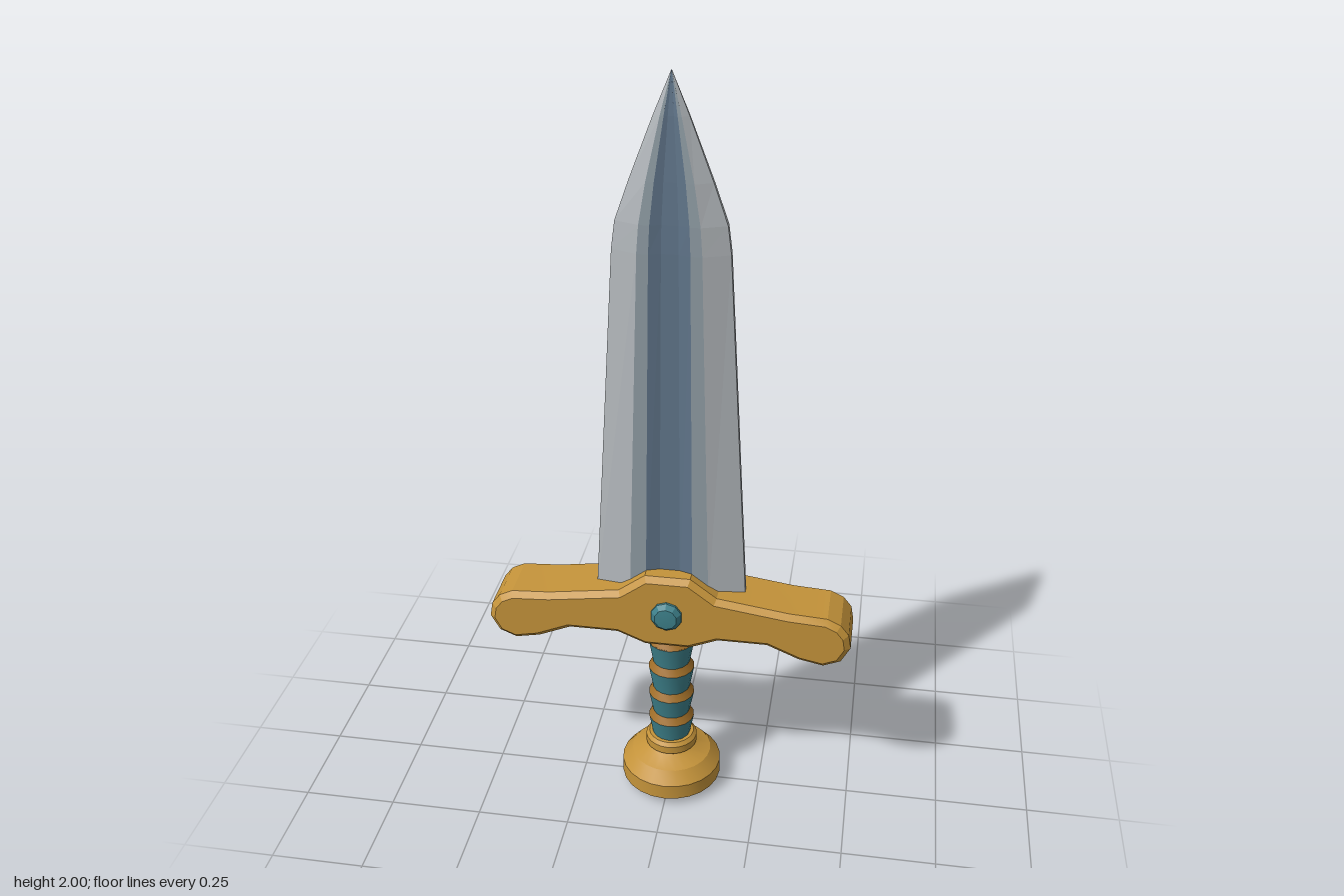
import * as THREE from 'three';
import { toCreasedNormals } from 'three/addons/utils/BufferGeometryUtils.js';

const paint = (name, color) => Object.assign(new THREE.MeshStandardMaterial({ color }), { name });

export function createModel() {
  const gold = paint('gold', 0xc4933a);
  const bronze = paint('bronze', 0xa06e28);
  const teal = paint('teal', 0x3d808a);
  const silver = paint('silver', 0xb4b9bd);
  const steel = paint('steel', 0x8e9ba3);
  const blueSteel = paint('blueSteel', 0x60758a);

  const model = new THREE.Group();
  model.name = 'dagger';
  const add = (name, geometry, material) => {
    const mesh = new THREE.Mesh(geometry, material);
    mesh.name = name;
    model.add(mesh);
    return mesh;
  };
  // Turned part from [radius, height] points, bottom to top
  const turn = (points, sides) => toCreasedNormals(
    new THREE.LatheGeometry(points.map(([r, y]) => new THREE.Vector2(r, y)), sides), 0.45);

  // Blade: levels of [y, half width, ridge x, fuller x, floor x, edge z, ridge z, floor z]
  const levels = [
    [0.62, 0.2, 0.105, 0.062, 0.027, 0.011, 0.043, 0.031],
    [1.58, 0.143, 0.078, 0.05, 0.021, 0.01, 0.036, 0.027],
    [1.65, 0.134, 0.073, 0.047, 0.02, 0.009, 0.034, 0.025],
    [1.75, 0.099, 0.057, 0.037, 0.016, 0.007, 0.027, 0.02],
    [1.9, 0.042, 0.025, 0.016, 0.007, 0.004, 0.014, 0.011],
    [2, 0.0008, 0.0006, 0.0004, 0.0002, 0.0005, 0.0008, 0.0006],
  ];
  const rings = levels.map(([y, w, r, f, c, e, t, d]) => {
    const half = [[-w, e], [-r, t], [-f, t], [-c, d], [c, d], [f, t], [r, t], [w, e]];
    return [...half, ...half.map(([x, z]) => [-x, -z])].map(([x, z]) => [x, y, z]);
  });
  const stripColour = [0, 1, 2, 2, 2, 1, 0, 0];
  const positions = [];
  const blade = new THREE.BufferGeometry();
  for (let s = 0; s < 16; s++) {
    const start = positions.length / 3, n = (s + 1) % 16;
    for (let i = 0; i < rings.length - 1; i++) {
      const [a, b, c, d] = [rings[i][s], rings[i][n], rings[i + 1][n], rings[i + 1][s]];
      positions.push(...a, ...b, ...c, ...a, ...c, ...d);
    }
    blade.addGroup(start, positions.length / 3 - start, stripColour[s % 8]);
  }
  blade.setAttribute('position', new THREE.Float32BufferAttribute(positions, 3));
  blade.computeVertexNormals();
  add('blade', blade, [silver, steel, blueSteel]);

  // Crossguard: mirrored outline, extruded with a chamfer
  const right = [
    [0.06, 0.495], [0.135, 0.526], [0.265, 0.526], [0.35, 0.49], [0.415, 0.477], [0.46, 0.496],
    [0.484, 0.54], [0.477, 0.58], [0.455, 0.608], [0.42, 0.625], [0.32, 0.631], [0.13, 0.658], [0.06, 0.71],
  ];
  const outline = [...right, ...right.map(([x, y]) => [-x, y]).reverse()];
  const guard = new THREE.ExtrudeGeometry(
    new THREE.Shape(outline.map(([x, y]) => new THREE.Vector2(x, y))),
    { depth: 0.136, bevelEnabled: true, bevelThickness: 0.015, bevelSize: 0.015, bevelOffset: -0.015, bevelSegments: 1 });
  guard.translate(0, 0, -0.068);
  add('crossguard', toCreasedNormals(guard, 0.3), gold);

  // Gems on both faces of the guard
  for (const side of [1, -1]) {
    const gem = add(side > 0 ? 'frontGem' : 'backGem',
      turn([[0.042, 0.075], [0.042, 0.09], [0.03, 0.103], [0, 0.106]], 10), teal);
    gem.rotation.x = side * Math.PI / 2;
    gem.position.y = 0.6;
  }

  // Grip: flaring wraps with sloped bronze bands between them
  const breaks = [0.15, 0.215, 0.235, 0.296, 0.316, 0.382, 0.402, 0.472];
  for (let i = 0; i < breaks.length - 1; i++) {
    const wrap = i % 2 === 0;
    const low = wrap ? 0.051 : 0.063, high = wrap ? 0.063 : 0.051;
    add(wrap ? 'gripWrap' : 'gripBand',
      turn([[low, breaks[i]], [high, breaks[i + 1]]], 16), wrap ? teal : bronze);
  }
  add('gripCollar', turn([[0, 0.47], [0.064, 0.47], [0.054, 0.485], [0.054, 0.52]], 16), bronze);

  // Pommel with its neck
  add('pommel', turn([
    [0, 0], [0.108, 0], [0.138, 0.022], [0.138, 0.065], [0.11, 0.098], [0.072, 0.114],
    [0.064, 0.12], [0.071, 0.126], [0.071, 0.148], [0.062, 0.158], [0, 0.158],
  ], 24), gold);

  return model;
}
